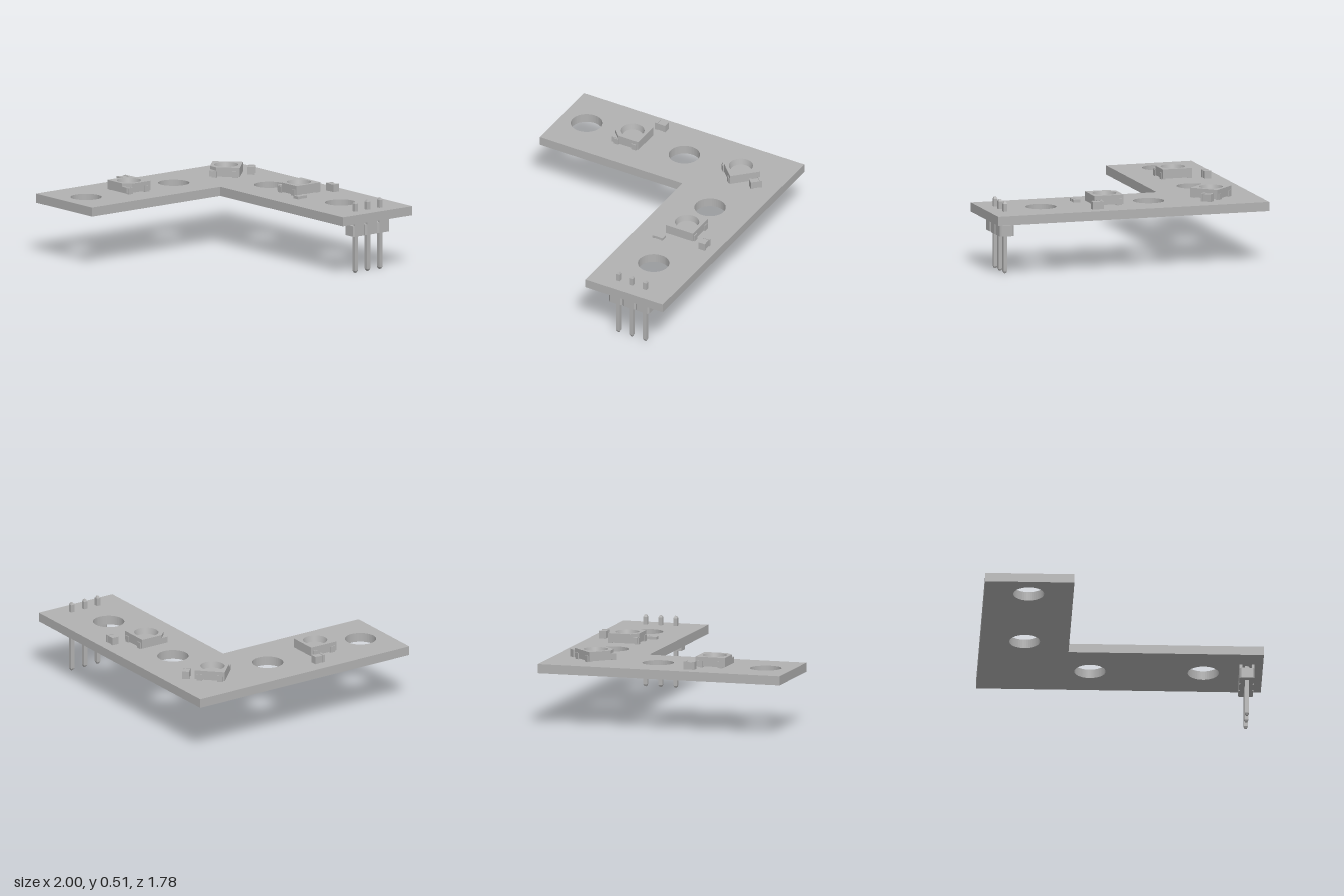
import * as THREE from 'three';

export function createModel() {
  const model = new THREE.Group();
  const grey = new THREE.MeshStandardMaterial({ color: 0xb2b2b2, side: THREE.DoubleSide });
  grey.name = 'grey';

  function add(parent, name, geometry, x = 0, y = 0, z = 0) {
    const mesh = new THREE.Mesh(geometry, grey);
    mesh.name = name;
    mesh.position.set(x, y, z);
    parent.add(mesh);
    return mesh;
  }

  function group(name, x, y, z, turn = 0) {
    const g = new THREE.Group();
    g.name = name;
    g.position.set(x, y, z);
    g.rotation.y = turn;
    model.add(g);
    return g;
  }

  // Horizontal slab from an (x, z) outline with round holes [x, z, radius]
  function slab(points, holes, bottom, top) {
    const shape = new THREE.Shape(points.map(([x, z]) => new THREE.Vector2(x, z)));
    for (const [x, z, r] of holes) {
      shape.holes.push(new THREE.Path().absarc(x, z, r, 0, Math.PI * 2, true));
    }
    const geo = new THREE.ExtrudeGeometry(shape, { depth: top - bottom, bevelEnabled: false, curveSegments: 24 });
    return geo.rotateX(Math.PI / 2).translate(0, top, 0);
  }

  // L-shaped circuit board with four mounting holes
  const boardTop = 0.44;
  add(model, 'board', slab(
    [[-1, -0.89], [1, -0.89], [1, -0.265], [-0.372, -0.265], [-0.372, 0.89], [-1, 0.89]],
    [[-0.21, -0.58, 0.11], [0.585, -0.58, 0.11], [-0.687, -0.1, 0.11], [-0.687, 0.69, 0.11]],
    0.375, boardTop));

  // Square lamps: body, clipped-corner rim, round dish, four side contacts
  function lamp(x, z, turn) {
    const g = group('lamp', x, boardTop, z, turn);
    const h = 0.108, c = 0.05, r = 0.085;
    add(g, 'lampBody', slab([[-h, -h], [h, -h], [h, h], [-h, h]], [[0, 0, r]], 0.007, 0.05));
    add(g, 'lampRim', slab([[-h, -h], [h, -h], [h, h - c], [h - c, h], [-h, h]], [[0, 0, r]], 0.05, 0.073));
    add(g, 'lampDish', new THREE.LatheGeometry([
      new THREE.Vector2(0, 0.03), new THREE.Vector2(0.074, 0.03),
      new THREE.Vector2(0.074, 0.03), new THREE.Vector2(r, 0.073),
    ], 48));
    for (const sx of [-1, 1]) {
      for (const sz of [-1, 1]) {
        add(g, 'lampContact', new THREE.BoxGeometry(0.03, 0.045, 0.038), sx * 0.099, 0.0225, sz * 0.073);
      }
    }
  }
  lamp(-0.676, 0.312, 0);
  lamp(0.117, -0.582, -Math.PI / 2);
  lamp(-0.675, -0.563, -Math.PI / 4);

  // Small chips: narrow middle between two wider end caps
  function chip(x, z, height, turn) {
    const g = group('chip', x, boardTop, z, turn);
    add(g, 'chipBody', new THREE.BoxGeometry(0.05, height * 0.94, 0.042), 0, height * 0.47, 0);
    for (const s of [-1, 1]) {
      add(g, 'chipCap', new THREE.BoxGeometry(0.018, height, 0.05), s * 0.032, height / 2, 0);
    }
  }
  chip(0.235, -0.79, 0.055, 0);
  chip(-0.885, 0.195, 0.055, Math.PI / 2);
  chip(-0.595, -0.727, 0.055, -Math.PI / 4);
  chip(0.29, -0.455, 0.02, Math.PI / 2);

  // Three-way pin header under the board
  for (const z of [-0.688, -0.578, -0.468]) {
    const g = group('headerSection', 0.887, 0, z);
    // Octagonal block, with feet leaving a gap below the board
    const w = 0.052, d = 0.054, k = 0.012;
    add(g, 'headerBlock', slab([
      [-w, -d + k], [-w + k, -d], [w - k, -d], [w, -d + k],
      [w, d - k], [w - k, d], [-w + k, d], [-w, d - k],
    ], [], 0.27, 0.345));
    for (const s of [-1, 1]) {
      add(g, 'headerFoot', new THREE.BoxGeometry(0.019, 0.03, 0.085), s * 0.0425, 0.36, 0);
    }
    // Square pin with tapered tips
    add(g, 'pin', new THREE.BoxGeometry(0.028, 0.48, 0.028), 0, 0.255, 0);
    const tip = () => new THREE.CylinderGeometry(0.009, 0.0198, 0.015, 4).rotateY(Math.PI / 4).toNonIndexed();
    const tips = [add(g, 'pinTip', tip(), 0, 0.5025, 0), add(g, 'pinTip', tip().rotateX(Math.PI), 0, 0.0075, 0)];
    tips.forEach((t) => t.geometry.computeVertexNormals());
  }

  return model;
}
